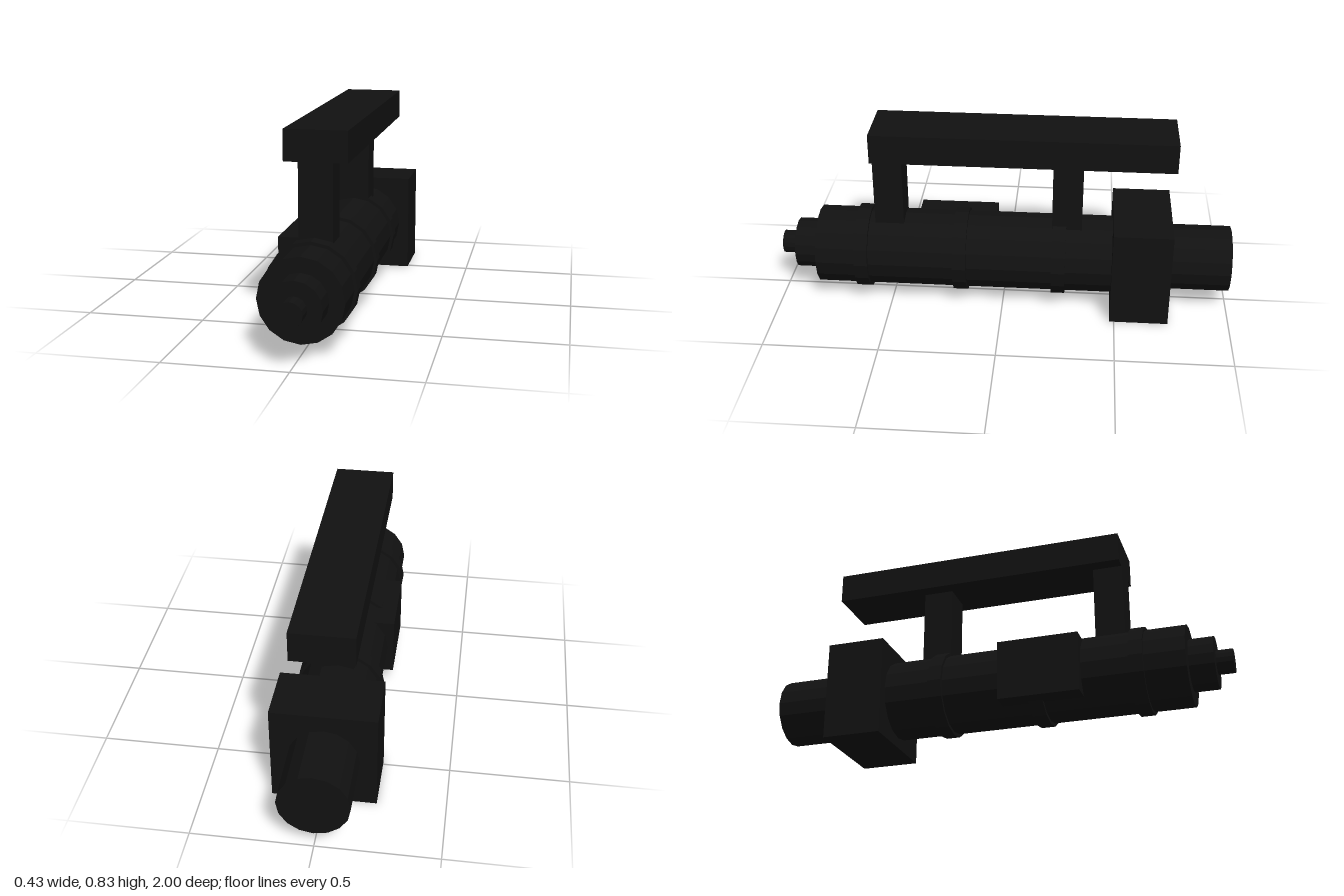
import * as THREE from 'three';

export function createModel() {
  const group = new THREE.Group();
  const black = new THREE.MeshStandardMaterial({ color: 0x111111, flatShading: true });
  black.name = 'black';
  const axisY = 0.217;

  const add = (name, geometry, x, y, z) => {
    const mesh = new THREE.Mesh(geometry, black);
    mesh.name = name;
    mesh.position.set(x, y, z);
    group.add(mesh);
  };
  // box given by its extents on each axis
  const box = (name, x0, x1, y0, y1, z0, z1) =>
    add(name, new THREE.BoxGeometry(x1 - x0, y1 - y0, z1 - z0),
      (x0 + x1) / 2, (y0 + y1) / 2, (z0 + z1) / 2);
  // low-poly cylinder lying along z on the main axis
  const tube = (name, radius, z0, z1) =>
    add(name, new THREE.CylinderGeometry(radius, radius, z1 - z0, 16).rotateX(Math.PI / 2),
      0, axisY, (z0 + z1) / 2);

  // barrel, stepped nose and rear cylinder
  tube('body', 0.173, -0.48, 0.825);
  tube('nose', 0.111, 0.825, 0.93);
  tube('noseTip', 0.051, 0.93, 1);
  tube('rearCylinder', 0.146, -1, -0.735);

  // raised bands
  for (const z of [0.622, 0.187, -0.247]) tube('band', 0.187, z - 0.03, z + 0.03);

  // square rear housing and side panel
  box('rearHousing', -0.217, 0.217, 0, 0.434, -0.735, -0.48);
  box('sidePanel', -0.2, -0.05, 0.087, 0.347, 0.04, 0.39);

  // top rail on two posts
  box('topRail', -0.13, 0.13, 0.698, 0.827, -0.735, 0.565);
  box('frontPost', -0.07, 0.07, 0.3, 0.698, 0.438, 0.565);
  box('rearPost', -0.07, 0.07, 0.3, 0.698, -0.345, -0.215);

  return group;
}
